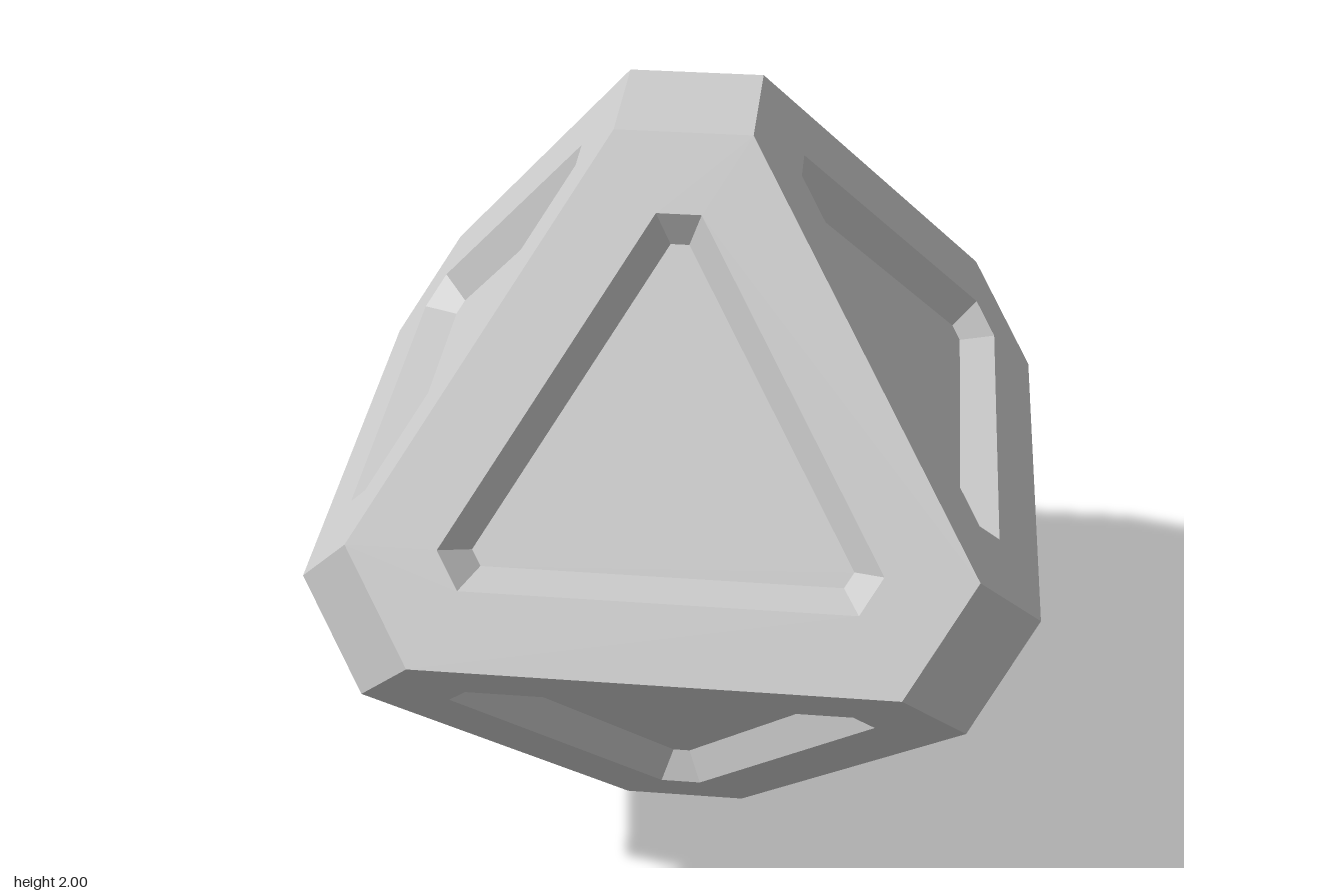
import * as THREE from 'three';

// Six corners around one octant, going x -> y -> z (counter-clockwise from outside)
const ring = (a, b, c) => [
  [a, b, c], [b, a, c], [c, a, b], [c, b, a], [b, c, a], [a, c, b],
];

const faceEdge = ring(1, 0.22, 0);             // outline of a big face
const pocketRim = ring(0.852, 0.22, 0.148);    // opening of its recess
const pocketFloor = ring(0.762, 0.182, 0.152); // sunken panel

// Fan of triangles over a convex polygon, reversed when mirrored
function addPolygon(out, corners, flip = false) {
  const p = flip ? [...corners].reverse() : corners;
  for (let i = 1; i < p.length - 1; i++) out.push(...p[0], ...p[i], ...p[i + 1]);
}

// Band of quads between an outer and an inner ring
function addBand(out, outer, inner, flip) {
  outer.forEach((p, i) => {
    const j = (i + 1) % outer.length;
    addPolygon(out, [p, outer[j], inner[j], inner[i]], flip);
  });
}

function makeMesh(name, positions, material) {
  const geometry = new THREE.BufferGeometry();
  geometry.setAttribute('position', new THREE.Float32BufferAttribute(positions, 3));
  geometry.computeVertexNormals();
  const mesh = new THREE.Mesh(geometry, material);
  mesh.name = name;
  return mesh;
}

export function createModel() {
  const model = new THREE.Group();
  model.name = 'truncatedOctahedron';
  const material = new THREE.MeshStandardMaterial({ color: 0xcccccc, flatShading: true });
  const frame = [], caps = [], walls = [], floors = [];

  // Eight framed faces, each with a recessed panel
  for (const sx of [1, -1]) for (const sy of [1, -1]) for (const sz of [1, -1]) {
    const flip = sx * sy * sz < 0;
    const mirror = (points) => points.map(([x, y, z]) => [x * sx, y * sy, z * sz]);
    const rim = mirror(pocketRim), floor = mirror(pocketFloor);
    addBand(frame, mirror(faceEdge), rim, flip);
    addBand(walls, rim, floor, flip);
    addPolygon(floors, floor, flip);
  }

  // Six square caps on the cut-off corners
  for (let axis = 0; axis < 3; axis++) for (const s of [1, -1]) {
    const square = [[1, 0], [0, 1], [-1, 0], [0, -1]].map(([u, v]) => {
      const p = [0, 0, 0];
      p[axis] = s;
      p[(axis + 1) % 3] = u * 0.22;
      p[(axis + 2) % 3] = v * 0.22;
      return p;
    });
    addPolygon(caps, square, s < 0);
  }

  model.add(
    makeMesh('faceFrames', frame, material),
    makeMesh('cornerCaps', caps, material),
    makeMesh('recessWalls', walls, material),
    makeMesh('recessPanels', floors, material),
  );
  model.position.y = 1;
  const root = new THREE.Group();
  root.name = 'facetedDie';
  root.add(model);
  return root;
}
